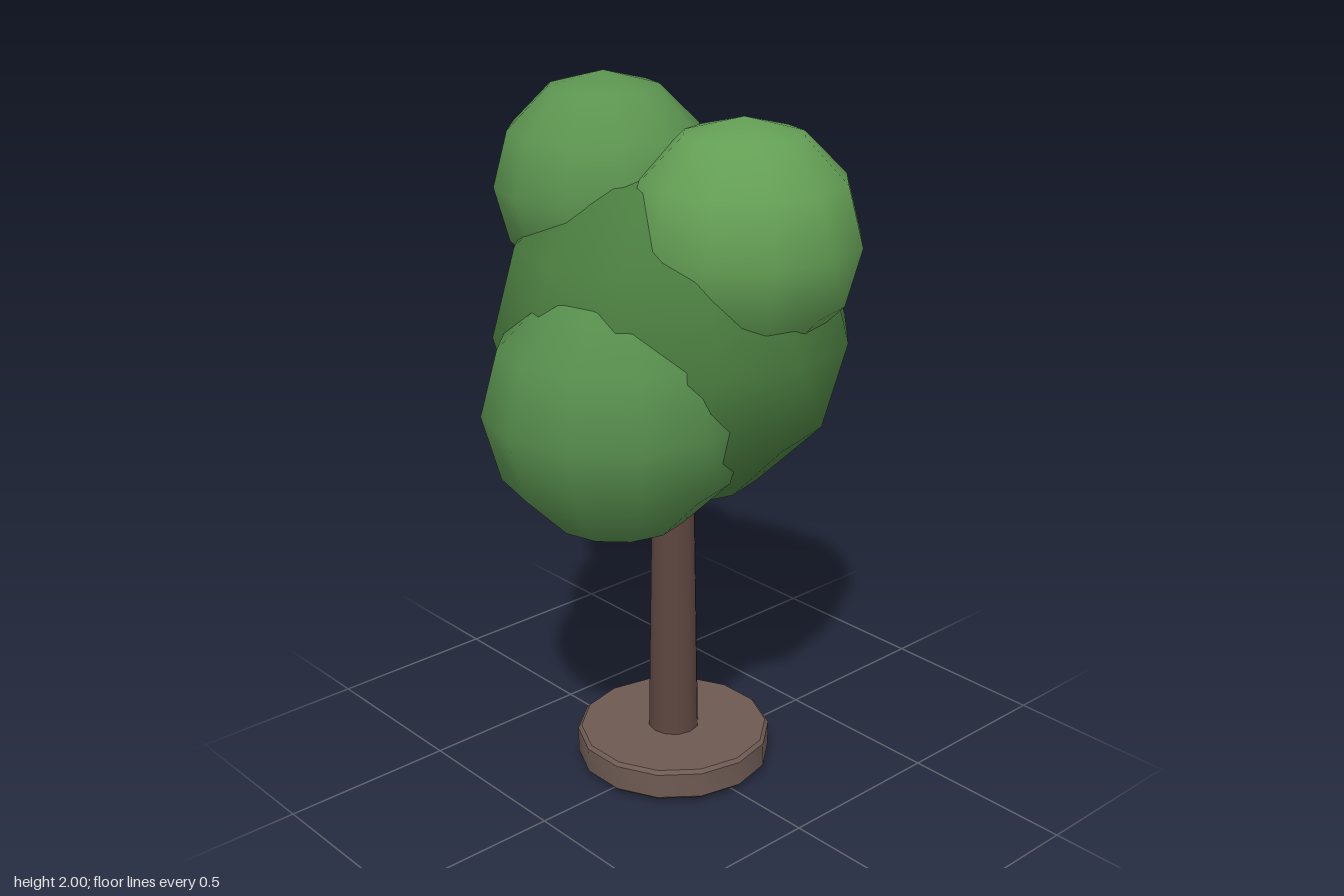
import * as THREE from 'three';
import { toCreasedNormals } from 'three/addons/utils/BufferGeometryUtils.js';

export function createModel() {
  const tree = new THREE.Group();
  tree.name = 'tree';

  const add = (name, geometry, color, x, y, z) => {
    const mesh = new THREE.Mesh(geometry, new THREE.MeshStandardMaterial({ color }));
    mesh.name = name;
    mesh.position.set(x, y, z);
    tree.add(mesh);
  };

  // Round base slab with a small bevel on both rims
  const profile = [[0, 0.013], [0.27, 0.013], [0.28, 0.023], [0.28, 0.095], [0.27, 0.105], [0, 0.105]]
    .map(([r, y]) => new THREE.Vector2(r, y));
  add('base', toCreasedNormals(new THREE.LatheGeometry(profile, 14), 0.6), 0x6d5a52, 0.007, 0, -0.025);

  // Tapered trunk, reaching up into the foliage
  const trunkHeight = 1.0;
  add('trunk', new THREE.CylinderGeometry(0.058, 0.075, trunkHeight, 12), 0x5d463f, 0.007, trunkHeight / 2, -0.025);

  // Foliage balls: name, radius, centre, colour
  const foliage = [
    ['foliageCore', 0.485, [0.003, 1.33, -0.025], 0x4a7c3f],
    ['foliageRight', 0.357, [-0.251, 1.18, 0.042], 0x568c4c],
    ['foliageLeft', 0.335, [0.27, 1.14, -0.145], 0x568c4c],
    ['foliageFrontTop', 0.315, [0.045, 1.61, 0.2], 0x649f55],
    ['foliageBackTop', 0.298, [-0.067, 1.702, -0.215], 0x5c9450],
  ];
  for (const [name, radius, centre, color] of foliage) {
    add(name, new THREE.SphereGeometry(radius, 12, 6), color, ...centre);
  }

  return tree;
}
